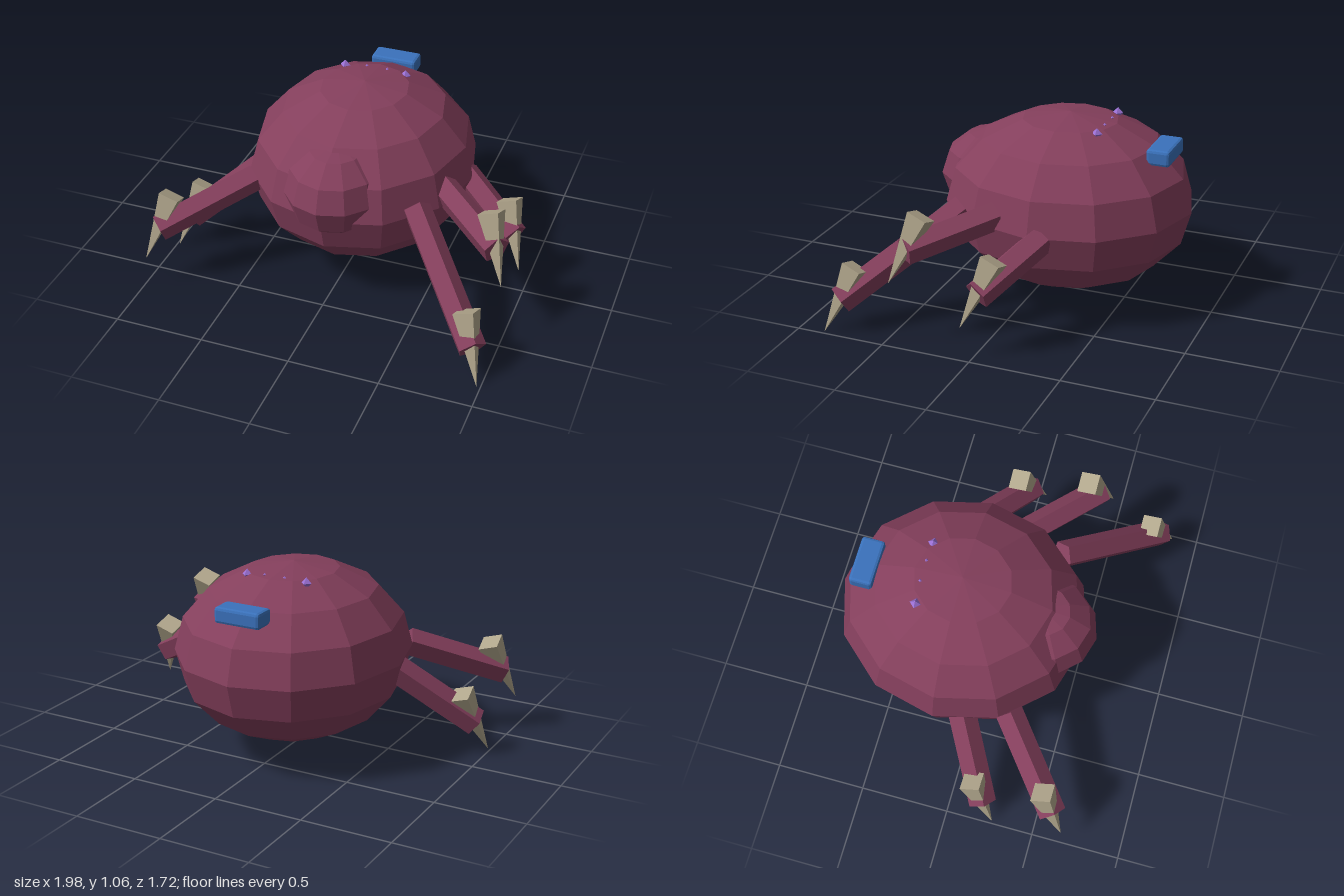
import * as THREE from 'three';
import { RoundedBoxGeometry } from 'three/addons/geometries/RoundedBoxGeometry.js';

function makeMaterial(name, color) {
  const m = new THREE.MeshStandardMaterial({ color, flatShading: true });
  m.name = name;
  return m;
}

// Orients a mesh so its local y follows `axis` and its local z leans toward `ref`.
function align(mesh, axis, ref) {
  const y = axis.clone().normalize();
  const z = ref.clone().addScaledVector(y, -ref.dot(y)).normalize();
  const x = new THREE.Vector3().crossVectors(y, z);
  mesh.quaternion.setFromRotationMatrix(new THREE.Matrix4().makeBasis(x, y, z));
}

export function createModel() {
  const model = new THREE.Group();
  model.name = 'creature';
  const shell = makeMaterial('maroon shell', 0x843f5c);
  const bone = makeMaterial('bone claw', 0xb0a58b);
  const blue = makeMaterial('blue block', 0x3a72bc);
  const violet = makeMaterial('violet crystal', 0x9a70d4);

  function add(name, geometry, material, position, parent = model) {
    const mesh = new THREE.Mesh(geometry, material);
    mesh.name = name;
    mesh.position.set(...position);
    parent.add(mesh);
    return mesh;
  }

  // Faceted body and head
  add('body', new THREE.SphereGeometry(1, 12, 8).scale(0.635, 0.49, 0.695), shell, [0, 0.575, -0.17]);
  add('head', new THREE.SphereGeometry(1, 12, 6).scale(0.29, 0.26, 0.32), shell, [0, 0.66, 0.26]);

  // Legs: start inside the body, end at the claw
  const legs = [
    ['leftFrontLeg', [0.45, 0.61, 0.27], [0.925, 0.185, 0.78]],
    ['leftMiddleLeg', [0.53, 0.63, 0.05], [0.925, 0.54, 0.385]],
    ['leftBackLeg', [0.57, 0.56, -0.23], [0.925, 0.36, -0.015]],
    ['rightFrontLeg', [-0.5, 0.57, 0.22], [-0.93, 0.36, 0.585]],
    ['rightBackLeg', [-0.55, 0.5, -0.03], [-0.93, 0.185, 0.19]],
  ];
  const up = new THREE.Vector3(0, 1, 0);
  const forward = new THREE.Vector3(0, 0, 1);
  const clawGeometry = new THREE.ConeGeometry(0.08, 0.4, 4).rotateX(Math.PI).rotateY(Math.PI / 4);
  for (const [name, from, to] of legs) {
    const leg = new THREE.Group();
    leg.name = name;
    model.add(leg);
    const a = new THREE.Vector3(...from), b = new THREE.Vector3(...to);
    const dir = b.clone().sub(a);
    const limb = add('limb', new THREE.CylinderGeometry(0.08, 0.08, dir.length(), 5), shell,
      a.clone().lerp(b, 0.5).toArray(), leg);
    align(limb, dir, up);
    // Claw driven through the end of the limb, tip down and outward
    const claw = add('claw', clawGeometry, bone, to, leg);
    align(claw, new THREE.Vector3(-0.055 * Math.sign(to[0]), 0.175, -0.072), forward);
  }

  // Bevelled block on the back
  add('backBlock', new RoundedBoxGeometry(0.265, 0.088, 0.13, 1, 0.016), blue, [0, 0.91, -0.705]);

  // Small crystals barely breaking the surface
  for (const [x, y, z, r] of [[-0.19, 1.022, -0.375, 0.03], [0.165, 1.02, -0.38, 0.03],
    [-0.065, 1.033, -0.385, 0.01], [0.055, 1.033, -0.385, 0.01]]) {
    add('crystal', new THREE.OctahedronGeometry(r), violet, [x, y, z]);
  }
  return model;
}
